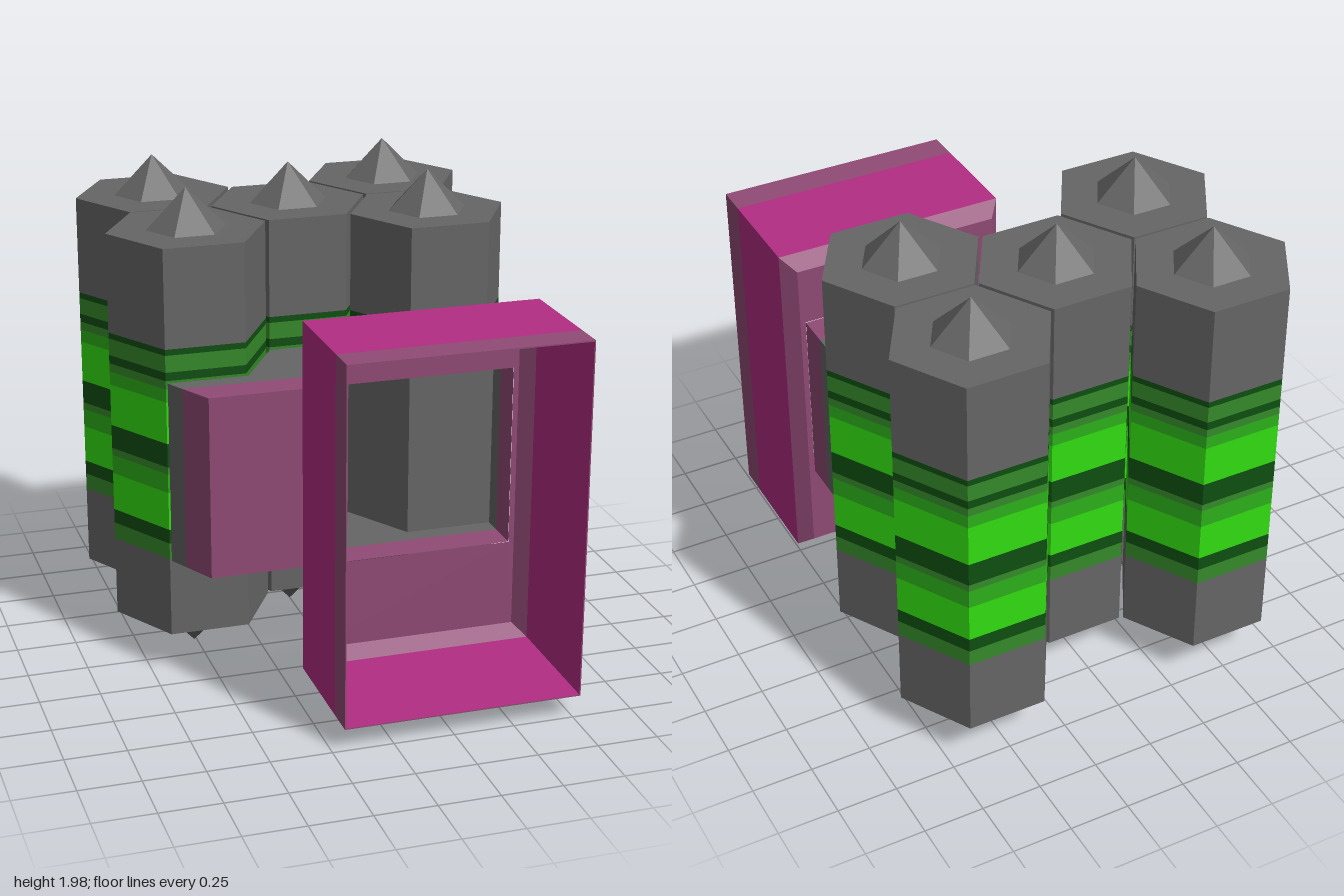
import * as THREE from 'three';

const mat = (name, color) => {
  const m = new THREE.MeshStandardMaterial({ color, side: THREE.DoubleSide, flatShading: true });
  m.name = name;
  return m;
};

export function createModel() {
  const grey = mat('grey metal', 0x666666);
  const dark = mat('dark green', 0x0f4f10);
  const medium = mat('medium green', 0x35892a);
  const mid = mat('mid green', 0x2cb01a);
  const bright = mat('bright green', 0x32de12);
  const magenta = mat('magenta', 0xb32d84);
  const plum = mat('dull plum', 0x904a75);

  const model = new THREE.Group();
  const add = (parent, name, geometry, material) => {
    const mesh = new THREE.Mesh(geometry, material);
    mesh.name = name;
    parent.add(mesh);
    return mesh;
  };
  const group = (name) => {
    const g = new THREE.Group();
    g.name = name;
    model.add(g);
    return g;
  };

  // Strip of quads joining two lines of points
  const ribbon = (a, b) => {
    const pos = [];
    for (let i = 0; i < a.length - 1; i++) {
      pos.push(...a[i], ...a[i + 1], ...b[i + 1], ...a[i], ...b[i + 1], ...b[i]);
    }
    const g = new THREE.BufferGeometry();
    g.setAttribute('position', new THREE.Float32BufferAttribute(pos, 3));
    g.computeVertexNormals();
    return g;
  };

  // Hexagonal columns: stacked colour bands with a spike at each end
  const R = 0.329;
  const hex = (rTop, rBottom, y0, y1, open) =>
    new THREE.CylinderGeometry(rTop, rBottom, y1 - y0, 6, 1, open, Math.PI / 6)
      .translate(0, (y0 + y1) / 2, 0);
  const bands = [
    [0.51, medium], [0.58, dark], [0.64, bright], [0.8, mid], [0.88, medium], [0.91, dark],
    [1.01, bright], [1.185, mid], [1.24, medium], [1.275, dark], [1.31, medium],
    [1.38, dark], [1.405, null],
  ];
  const columns = [[-0.51, -0.715], [0.51, -0.715], [0, -0.425], [-0.51, -0.135], [0.51, -0.135]];
  for (const [x, z] of columns) {
    const column = group('hexColumn');
    column.position.set(x, 0, z);
    add(column, 'lowerBody', hex(R, R, 0.175, 0.51, false), grey);
    add(column, 'upperBody', hex(R, R, 1.405, 1.815, false), grey);
    add(column, 'topSpike', hex(0, 0.165, 1.815, 1.98, true), grey);
    add(column, 'bottomSpike', hex(0.165, 0, 0, 0.175, true), grey);
    for (let i = 0; i < bands.length - 1; i++) {
      add(column, 'glowBand', hex(R, R, bands[i][0], bands[i + 1][0], true), bands[i][1]);
    }
  }

  // Hollow bracket that wedges between the front columns
  const bracket = group('bracket');
  const LOW = 0.51, HIGH = 1.27;
  const wall = (name, path, material) => add(bracket, name,
    ribbon(path.map(([x, z]) => [x, LOW, z]), path.map(([x, z]) => [x, HIGH, z])), material);
  const rear = [[-0.63, 0.245], [-0.67, 0.165], [-0.34, 0.165], [-0.17, -0.12],
    [0.17, -0.12], [0.34, 0.165], [0.705, 0.165], [0.705, 0.245]];
  const fore = [[-0.63, 0.245], [-0.56, 0.382], [0.705, 0.382], [0.705, 0.245]];
  wall('bracketRear', rear, grey);
  wall('bracketLeftEdge', [[0.705, 0.245], [0.705, 0.382]], plum);
  wall('bracketFront', [[-0.63, 0.245], [-0.56, 0.382], [-0.13, 0.382]], plum);
  wall('innerWall', [[-0.13, 0.382], [-0.13, -0.12]], grey);
  for (const y of [LOW, HIGH]) {
    for (const [outline, material] of [[rear, grey], [fore, plum]]) {
      const shape = new THREE.Shape(outline.map(([x, z]) => new THREE.Vector2(x, z)));
      const plate = new THREE.ShapeGeometry(shape).rotateX(Math.PI / 2).translate(0, y, 0);
      add(bracket, 'bracketPlate', plate, material);
    }
  }

  // Open-fronted box: outer skin, inner lining and bevelled back
  const box = group('openBox');
  const loop = (inset, z) => {
    const x0 = -0.2 + inset, x1 = 0.78 - inset, y0 = 0.09 + inset, y1 = 1.57 - inset;
    return [[x0, y0, z], [x1, y0, z], [x1, y1, z], [x0, y1, z], [x0, y0, z]];
  };
  add(box, 'bevel', ribbon(loop(0.052, 0.385), loop(0, 0.445)), plum);
  add(box, 'outerSkin', ribbon(loop(0, 0.445), loop(0, 0.87)), magenta);
  add(box, 'outerRim', ribbon(loop(0, 0.87), loop(0, 1)), plum);
  add(box, 'innerLining', ribbon(loop(0.005, 0.445), loop(0.005, 1)), magenta);
  add(box, 'frontLip', ribbon(loop(0.005, 1), loop(0, 1)), plum);

  // Back plate with the opening into the bracket
  const rect = (Type, x0, y0, x1, y1) => new Type([
    new THREE.Vector2(x0, y0), new THREE.Vector2(x1, y0),
    new THREE.Vector2(x1, y1), new THREE.Vector2(x0, y1)]);
  const back = rect(THREE.Shape, -0.148, 0.142, 0.728, 1.518);
  back.holes.push(rect(THREE.Path, -0.13, LOW, 0.705, HIGH));
  add(box, 'backPlate', new THREE.ShapeGeometry(back).translate(0, 0, 0.385), plum);

  return model;
}
